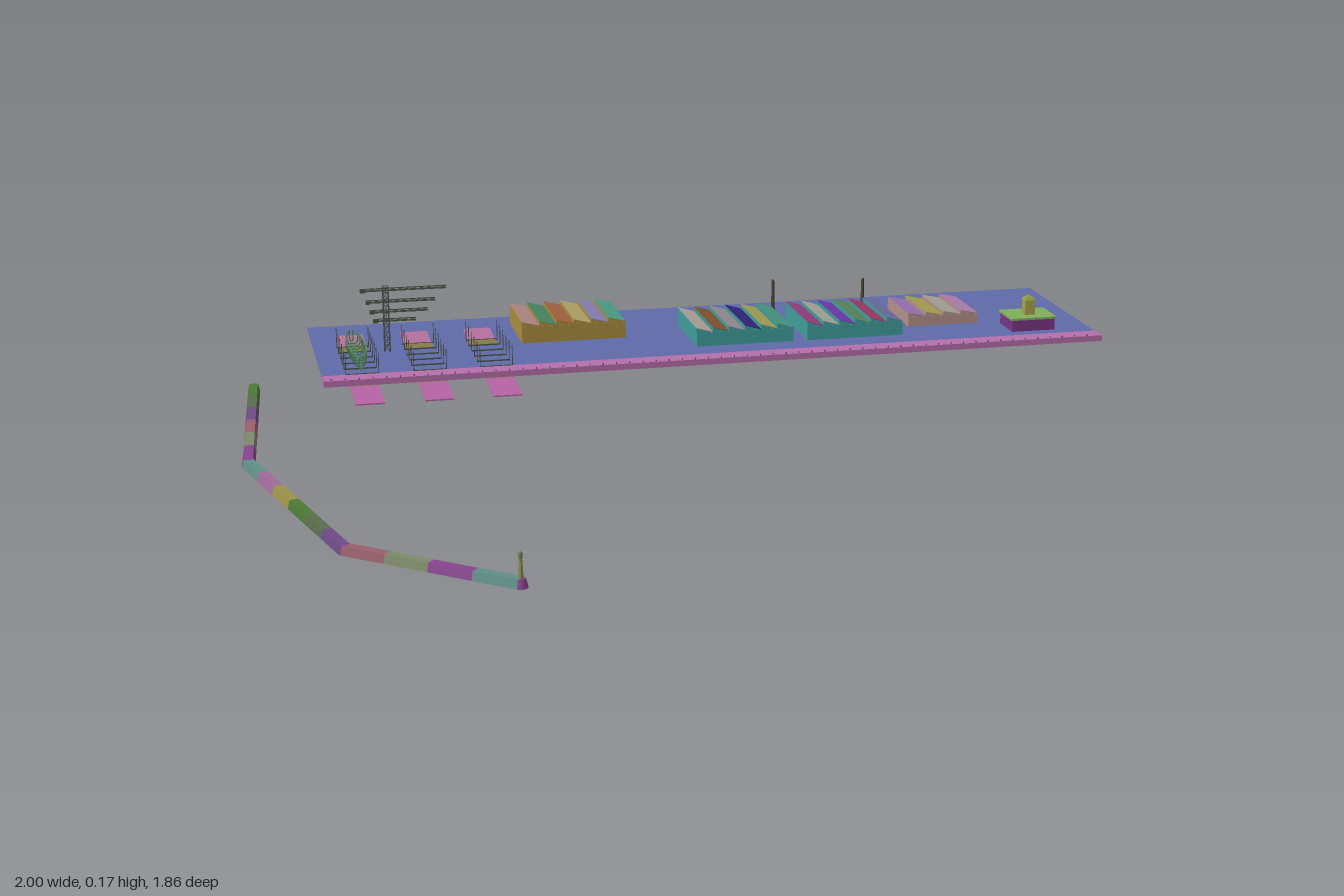
import * as THREE from 'three';

const mats = new Map();
function mat(color) {
  if (!mats.has(color)) mats.set(color, new THREE.MeshStandardMaterial({ color, flatShading: true, side: THREE.DoubleSide }));
  return mats.get(color);
}
function add(parent, name, geometry, color, x = 0, y = 0, z = 0) {
  const mesh = new THREE.Mesh(geometry, mat(color));
  mesh.name = name;
  mesh.position.set(x, y, z);
  parent.add(mesh);
  return mesh;
}
function group(parent, name) {
  const g = new THREE.Group();
  g.name = name;
  parent.add(g);
  return g;
}
// Box given by its limits
function block(parent, name, color, x0, x1, y0, y1, z0, z1) {
  return add(parent, name, new THREE.BoxGeometry(x1 - x0, y1 - y0, z1 - z0), color,
    (x0 + x1) / 2, (y0 + y1) / 2, (z0 + z1) / 2);
}
// Square bar between two points
function bar(parent, name, color, a, b, t) {
  const p = new THREE.Vector3(...a), q = new THREE.Vector3(...b);
  const m = add(parent, name, new THREE.BoxGeometry(t, t, p.distanceTo(q)), color);
  m.position.copy(p).lerp(q, 0.5);
  m.lookAt(q);
  return m;
}
function polygon(points, depth) {
  const shape = new THREE.Shape(points.map(p => new THREE.Vector2(...p)));
  return new THREE.ExtrudeGeometry(shape, { depth, bevelEnabled: false });
}

const GROUND = 0.021, STEEL = 0x4a5548;

// Workshop with a sawtooth roof, one coloured pitch per bay
function workshop(parent, name, wall, x0, x1, z0, z1, eave, ridge, roofs) {
  const g = group(parent, name);
  block(g, 'walls', wall, x0, x1, GROUND, eave, z0, z1);
  const w = (x1 - x0) / roofs.length;
  roofs.forEach((color, i) => {
    const x = x0 + i * w;
    add(g, 'roofBay', polygon([[0, 0], [w, 0], [0, ridge - eave]], z1 - z0 - 0.002), wall, x, eave, z0 + 0.001);
    const pitch = block(g, 'roofPitch', color, 0, Math.hypot(w, ridge - eave), 0, 0.001, z0, z1);
    const angle = Math.atan2(ridge - eave, w);
    pitch.rotation.z = -angle;
    pitch.position.set(x + w / 2, (eave + ridge) / 2 + 0.0005, (z0 + z1) / 2);
  });
}

// Sloping slipway with timber posts and cross ties
function slipway(parent, x) {
  const g = group(parent, 'slipway');
  const zs = [-0.307, -0.43, -0.72, -0.812];
  const top = z => 0.003 + (-0.307 - z) * 0.048;
  const colors = [0xb763a6, 0x8a7a48, 0xb5709c];
  colors.forEach((c, i) => {
    const [a, b] = [zs[i], zs[i + 1]];
    const geo = polygon([[-a, top(a) - 0.003], [-b, top(b) - 0.003], [-b, top(b)], [-a, top(a)]], 0.062);
    geo.rotateY(Math.PI / 2);
    add(g, 'ramp', geo, c, x - 0.031, 0, 0);
  });
  for (let i = 0; i < 6; i++) {
    const z = -0.48 - i * 0.048;
    for (const s of [-1, 1]) block(g, 'post', STEEL, x + s * 0.036 - 0.0008, x + s * 0.036 + 0.0008, GROUND, 0.068, z - 0.0008, z + 0.0008);
    block(g, 'crossTie', STEEL, x - 0.036, x + 0.036, GROUND, GROUND + 0.003, z - 0.001, z + 0.001);
  }
}

// Ship frame on the stocks: keel, ribs and gunwales
function shipFrame(parent, x) {
  const g = group(parent, 'shipFrame');
  const green = 0x4f8a5c, base = 0.027, n = 11;
  const z = i => -0.75 + i * 0.025;
  const half = i => 0.004 + 0.015 * Math.sqrt(Math.sin(Math.PI * i / (n - 1)));
  block(g, 'keel', green, x - 0.002, x + 0.002, base - 0.002, base + 0.002, z(0), z(n - 1));
  for (let i = 0; i < n; i++) {
    const h = half(i);
    const pts = [[-h, 0.028], [-h, 0.01], [-h * 0.6, 0.002], [h * 0.6, 0.002], [h, 0.01], [h, 0.028]];
    for (let k = 0; k < 5; k++) bar(g, 'rib', green,
      [x + pts[k][0], base + pts[k][1], z(i)], [x + pts[k + 1][0], base + pts[k + 1][1], z(i)], 0.003);
    if (i < n - 1) for (const s of [-1, 1]) bar(g, 'gunwale', green,
      [x + s * h, base + 0.027, z(i)], [x + s * half(i + 1), base + 0.027, z(i + 1)], 0.002);
  }
}

// Lattice tower with four levels of jib
function crane(parent, x, z) {
  const g = group(parent, 'towerCrane');
  const r = 0.006, top = 0.172, n = 10, step = (top - GROUND) / n;
  const corners = [[-r, -r], [r, -r], [r, r], [-r, r]];
  corners.forEach(([cx, cz], k) => {
    const [dx, dz] = corners[(k + 1) % 4];
    bar(g, 'towerLeg', STEEL, [x + cx, GROUND, z + cz], [x + cx, top, z + cz], 0.002);
    for (let i = 0; i < n; i++) {
      const y = GROUND + i * step;
      bar(g, 'towerBrace', STEEL, [x + cx, y, z + cz], [x + dx, y + step, z + dz], 0.0012);
      bar(g, 'towerRing', STEEL, [x + cx, y + step, z + cz], [x + dx, y + step, z + dz], 0.0012);
    }
  });
  const jibs = [[0.165, -0.692, -0.497], [0.138, -0.68, -0.523], [0.115, -0.672, -0.54], [0.094, -0.665, -0.568]];
  for (const [y, a, b] of jibs) {
    for (const s of [-1, 1]) bar(g, 'jibChord', STEEL, [a, y - 0.002, z + s * 0.004], [b, y - 0.002, z + s * 0.004], 0.0018);
    bar(g, 'jibTopChord', STEEL, [a, y + 0.003, z], [b, y + 0.003, z], 0.0018);
    const m = Math.round((b - a) / 0.016);
    for (let i = 0; i < m; i++) {
      const p = a + (b - a) * i / m, q = a + (b - a) * (i + 1) / m;
      for (const s of [-1, 1]) bar(g, 'jibBrace', STEEL, [p, y - 0.002, z + s * 0.004], [q, y + 0.003, z], 0.001);
    }
    block(g, 'counterweight', STEEL, a, a + 0.01, y - 0.005, y + 0.003, z - 0.005, z + 0.005);
  }
}

// Bent mole of trapezoid section, laid in short lengths
function breakwater(parent) {
  const g = group(parent, 'breakwater');
  const path = [[-0.946, -0.44], [-0.985, 0.115], [-0.845, 0.67], [-0.57, 0.912]].map(p => new THREE.Vector2(...p));
  const colors = [0x4c7a35, 0x5a6d4c, 0x6d4b86, 0x9a5f6c, 0x7d8a6a, 0x8a4590, 0x5f8f88, 0xa06a9a, 0x9a9348];
  let c = 0;
  for (let s = 0; s < 3; s++) {
    const d = path[s + 1].clone().sub(path[s]), len = d.length(), n = s < 2 ? 6 : 4;
    for (let i = 0; i < n; i++) {
      const geo = polygon([[-0.013, 0.009], [0.013, 0.009], [0.009, 0.026], [-0.009, 0.026]], len / n);
      const p = path[s].clone().addScaledVector(d, i / n);
      const m = add(g, 'moleLength', geo, colors[c++ % colors.length], p.x, 0, p.y);
      m.rotation.y = Math.atan2(d.x, d.y);
    }
    add(g, 'moleBend', new THREE.CylinderGeometry(0.009, 0.013, 0.017, 12), 0x8a4590, path[s + 1].x, 0.0175, path[s + 1].y);
  }
  // Harbour light on the outer end
  add(g, 'lightTower', new THREE.CylinderGeometry(0.003, 0.005, 0.036, 10), 0x8a8f55, -0.57, 0.044, 0.912);
  add(g, 'lantern', new THREE.CylinderGeometry(0.004, 0.004, 0.007, 10), 0x6f8a45, -0.57, 0.065, 0.912);
  add(g, 'lanternCap', new THREE.ConeGeometry(0.005, 0.006, 10), 0x4c6a35, -0.57, 0.0715, 0.912);
}

export function createModel() {
  const model = new THREE.Group();
  model.name = 'shipyard';

  // Yard and quay
  block(model, 'yardGround', 0x5f6aa8, -0.797, 0.997, 0.018, GROUND, -0.93, -0.478);
  block(model, 'quayWall', 0xb56fac, -0.797, 0.997, 0.009, 0.0225, -0.48, -0.434);
  for (let x = -0.78; x < 0.99; x += 0.03)
    add(model, 'bollard', new THREE.CylinderGeometry(0.0015, 0.0015, 0.004, 6), 0x7d4a78, x, 0.0243, -0.437);

  // Slipways, ship and crane
  for (const x of [-0.709, -0.56, -0.413]) slipway(model, x);
  shipFrame(model, -0.709);
  crane(model, -0.635, -0.669);

  // Workshops
  workshop(model, 'plateShop', 0xa88c3c, -0.326, -0.084, -0.86, -0.67, 0.06, 0.07,
    [0xb58a86, 0x4a8a63, 0xa8653f, 0xb3a56a, 0x8a82b8, 0x4fa08a]);
  workshop(model, 'engineShop', 0x3f9e9c, 0.058, 0.286, -0.755, -0.55, 0.053, 0.064,
    [0xb0a69a, 0x86562f, 0x9a8f98, 0x33267f, 0xa8a352, 0x4a9a80]);
  workshop(model, 'boilerShop', 0x3f9e9c, 0.32, 0.548, -0.755, -0.55, 0.053, 0.064,
    [0x9a3f80, 0xa8a89a, 0x7038b0, 0x5a8a5c, 0xa03a6a, 0x6a70a0]);
  workshop(model, 'joinerShop', 0xb5908c, 0.584, 0.756, -0.79, -0.62, 0.044, 0.053,
    [0x9a72b0, 0xa8a050, 0xa8a49a, 0xb080b0]);

  // Chimneys
  for (const [x, z, h] of [[0.303, -0.812, 0.106], [0.528, -0.818, 0.096]])
    add(model, 'chimney', new THREE.CylinderGeometry(0.003, 0.005, h - GROUND, 10), 0x4a4438, x, (h + GROUND) / 2, z);

  // Office with a clock turret
  const office = group(model, 'office');
  block(office, 'officeWalls', 0x7a3585, 0.806, 0.91, GROUND, 0.048, -0.603, -0.516);
  block(office, 'officeRoof', 0x7fb05a, 0.803, 0.913, 0.048, 0.053, -0.606, -0.513);
  block(office, 'turret', 0xa8a34a, 0.846, 0.87, 0.053, 0.088, -0.567, -0.543);
  const cap = add(office, 'turretRoof', new THREE.ConeGeometry(0.019, 0.013, 4), 0x8a9a40, 0.858, 0.0945, -0.555);
  cap.rotation.y = Math.PI / 4;

  breakwater(model);
  return model;
}
